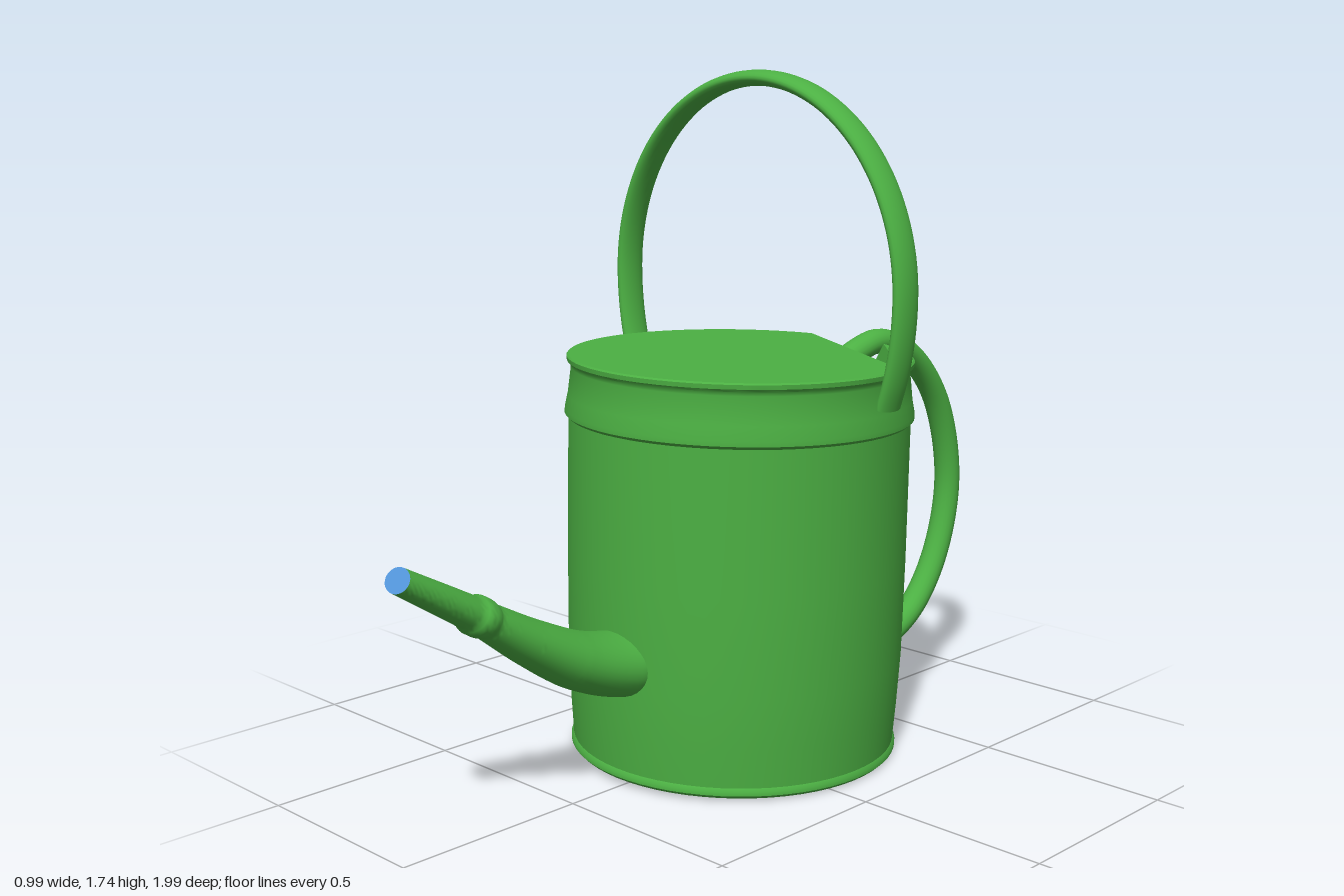
import * as THREE from 'three';
import { toCreasedNormals } from 'three/addons/utils/BufferGeometryUtils.js';

const SIDES = 64;
const green = new THREE.MeshStandardMaterial({ color: 0x4cb043, side: THREE.DoubleSide });
const greenFlat = new THREE.MeshStandardMaterial({ color: 0x4cb043, side: THREE.DoubleSide, flatShading: true });
const blue = new THREE.MeshStandardMaterial({ color: 0x5599e0, side: THREE.DoubleSide });

function part(name, geometry, material = green) {
  const mesh = new THREE.Mesh(geometry, material);
  mesh.name = name;
  return mesh;
}

// Curve through [y, z] points in the x = 0 plane
const sideCurve = (pts) => new THREE.CatmullRomCurve3(pts.map(([y, z]) => new THREE.Vector3(0, y, z)));

// Pushes the rim down where the rear handle meets it
function dent(y, x, z) {
  return y > 0.9 && z < 0 && Math.abs(x) < 0.1 ? 0.9 + (y - 0.9) * 0.5 : y;
}

function makeCan() {
  const can = new THREE.Group();
  can.name = 'can';

  // Wall and base, with a foot bead, a shoulder bead and a rolled rim
  const profile = [
    [0, 0], [0.416, 0], [0.424, 0.008], [0.424, 0.018], [0.418, 0.026], [0.425, 0.12], [0.432, 0.25],
    [0.435, 0.5], [0.435, 0.865], [0.444, 0.873], [0.444, 0.885], [0.437, 0.92],
    [0.429, 0.99], [0.431, 1.0], [0.439, 1.007], [0.44, 1.018], [0.436, 1.022],
  ].map(([r, y]) => new THREE.Vector2(r, y));
  const wall = new THREE.LatheGeometry(profile, SIDES);
  const p = wall.attributes.position;
  for (let i = 0; i < p.count; i++) p.setY(i, dent(p.getY(i), p.getX(i), p.getZ(i)));
  can.add(part('body', toCreasedNormals(wall, 0.7)));

  // Lid: a fan from one rim point, which folds down into the dent
  const rim = (i) => {
    const a = (i / SIDES) * Math.PI * 2;
    const x = 0.436 * Math.sin(a), z = 0.436 * Math.cos(a);
    return [x, dent(1.022, x, z), z];
  };
  const apex = 19;
  const tris = [];
  for (let i = 1; i < SIDES - 1; i++) tris.push(...rim(apex), ...rim(apex + i), ...rim(apex + i + 1));
  const lid = new THREE.BufferGeometry();
  lid.setAttribute('position', new THREE.Float32BufferAttribute(tris, 3));
  lid.computeVertexNormals();
  can.add(part('lid', lid, greenFlat));

  // The can leans very slightly
  can.position.set(-0.02, 0.011, -0.08);
  can.rotation.set(-0.012, 0, -0.013);
  return can;
}

function makeTopHandle() {
  const pts = [];
  const start = -0.45, steps = 36;
  for (let i = 0; i <= steps; i++) {
    const a = start + (i / steps) * (Math.PI - 2 * start);
    const ry = Math.sin(a) < 0 ? 0.62 : 0.51;
    pts.push(new THREE.Vector3(0.474 * Math.cos(a), 1.21 + ry * Math.sin(a), 0));
  }
  const handle = part('topHandle', new THREE.TubeGeometry(new THREE.CatmullRomCurve3(pts), 96, 0.02, 20));
  handle.scale.z = 2.1; // flattened strap section
  handle.position.set(-0.003, 0, -0.152);
  return handle;
}

function makeRearHandle() {
  const curve = sideCurve([
    [0.965, -0.49], [0.99, -0.55], [1.007, -0.64], [0.96, -0.77], [0.81, -0.905], [0.57, -0.967],
    [0.35, -0.915], [0.205, -0.8], [0.14, -0.64], [0.153, -0.55], [0.18, -0.49],
  ]);
  const handle = part('rearHandle', new THREE.TubeGeometry(curve, 80, 0.034, 20));
  handle.scale.x = 1.1;
  handle.position.x = -0.004;
  return handle;
}

function makeSpout() {
  const group = new THREE.Group();
  group.name = 'spout';
  const curve = sideCurve([[0.31, 0.24], [0.315, 0.34], [0.35, 0.46], [0.425, 0.6], [0.527, 0.76], [0.655, 0.975]]);

  // Half width along z, with a raised collar near the tip
  const widths = [[0.24, 0.114], [0.34, 0.111], [0.5, 0.094], [0.735, 0.059], [0.75, 0.066],
    [0.77, 0.066], [0.785, 0.055], [0.975, 0.042]];
  const widthAt = (z) => {
    const k = Math.max(1, widths.findIndex(([wz]) => wz >= z - 1e-6));
    const [z0, w0] = widths[k - 1], [z1, w1] = widths[k];
    return THREE.MathUtils.lerp(w0, w1, (z - z0) / (z1 - z0));
  };

  // Tube scaled ring by ring to an oval, tapering section
  const rings = 100, sides = 32, flat = 0.73;
  const geo = new THREE.TubeGeometry(curve, rings, 1, sides);
  const p = geo.attributes.position;
  for (let i = 0; i < p.count; i++) {
    const c = curve.getPointAt(Math.floor(i / (sides + 1)) / rings);
    const w = widthAt(Math.min(c.z, 0.975));
    p.setXYZ(i, p.getX(i) * w, c.y + (p.getY(i) - c.y) * w * flat, c.z + (p.getZ(i) - c.z) * w * flat);
  }
  group.add(part('spoutTube', toCreasedNormals(geo, 0.7)));

  // Water-coloured disc closing the tip
  const tip = part('spoutOpening', new THREE.CircleGeometry(0.042, sides), blue);
  const t = curve.getTangentAt(1);
  tip.scale.y = flat;
  tip.rotation.x = -Math.atan2(t.y, t.z);
  tip.position.copy(curve.getPointAt(1));
  group.add(tip);

  group.position.x = -0.019;
  return group;
}

export function createModel() {
  const model = new THREE.Group();
  model.name = 'wateringCan';
  model.add(makeCan(), makeTopHandle(), makeRearHandle(), makeSpout());
  return model;
}
